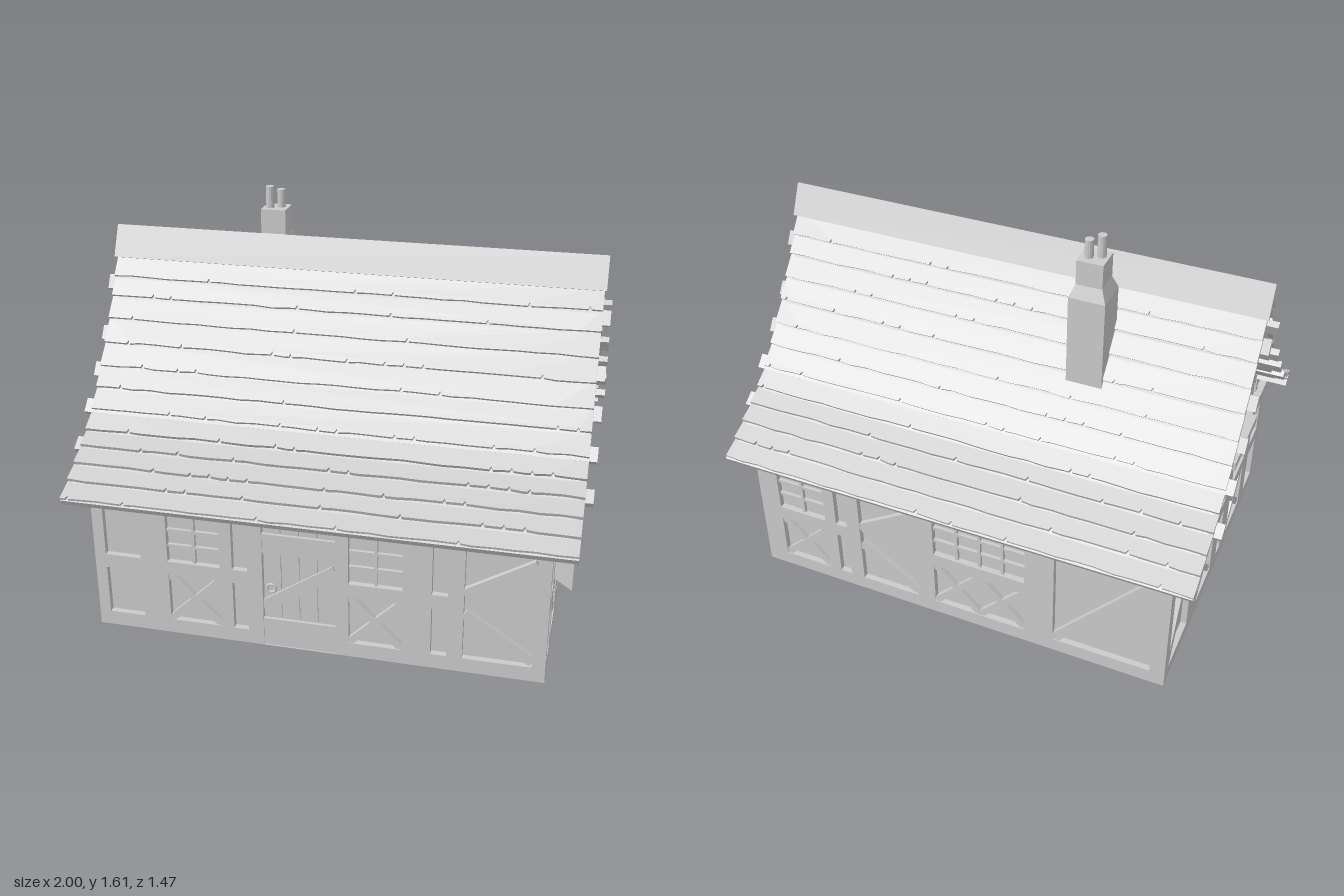
import * as THREE from 'three';

const mat = new THREE.MeshStandardMaterial({ color: 0xcccccc, flatShading: true, side: THREE.DoubleSide });

function add(parent, geo, name, x = 0, y = 0, z = 0) {
  const m = new THREE.Mesh(geo, mat);
  m.name = name;
  m.position.set(x, y, z);
  parent.add(m);
  return m;
}
// Box given by its min and max corners
function box(parent, name, x0, y0, z0, x1, y1, z1) {
  return add(parent, new THREE.BoxGeometry(x1 - x0, y1 - y0, z1 - z0), name, (x0 + x1) / 2, (y0 + y1) / 2, (z0 + z1) / 2);
}
// Straight timber between two points on a wall
function bar(parent, name, u0, v0, u1, v1, w, zBack = -0.028, zFront = -0.003) {
  const m = add(parent, new THREE.BoxGeometry(Math.hypot(u1 - u0, v1 - v0), w, zFront - zBack), name,
    (u0 + u1) / 2, (v0 + v1) / 2, (zBack + zFront) / 2);
  m.rotation.z = Math.atan2(v1 - v0, u1 - u0);
  return m;
}
const shapeOf = pts => new THREE.Shape(pts.map(p => new THREE.Vector2(p[0], p[1])));
const extrude = (shape, depth) => new THREE.ExtrudeGeometry(shape, { depth, bevelEnabled: false, curveSegments: 24 });

let seed = 7;
const rnd = () => (seed = (seed * 16807) % 2147483647) / 2147483647;

// Roof outline from ridge to eave as [z, y]
const roof = [[0.05, 1.34], [0.09, 1.265], [0.13, 1.195], [0.18, 1.115], [0.235, 1.035], [0.29, 0.955], [0.345, 0.885],
  [0.405, 0.815], [0.47, 0.757], [0.53, 0.715], [0.6, 0.672], [0.665, 0.63], [0.735, 0.587]];
const offset = d => roof.map((p, i) => {
  const a = roof[Math.max(i - 1, 0)], b = roof[Math.min(i + 1, roof.length - 1)];
  const dz = b[0] - a[0], dy = b[1] - a[1], l = Math.hypot(dz, dy);
  return [p[0] + dy / l * d, p[1] - dz / l * d];
});
const mirrored = (half, apex) => [...half.map(p => [-p[0], p[1]]).reverse(), apex, ...half];

// Infill of one framed opening
function infill(wall, [u0, v0, u1, v1, kind]) {
  const um = (u0 + u1) / 2;
  if (kind === 'x') {
    bar(wall, 'crossBrace', u0, v0, u1, v1, 0.028);
    bar(wall, 'crossBrace', u0, v1, u1, v0, 0.028, -0.028, -0.004);
  } else if (kind === 'xx') {
    infill(wall, [u0, v0, um, v1, 'x']);
    infill(wall, [um, v0, u1, v1, 'x']);
  } else if (kind === 'window') {
    const cols = Math.max(2, Math.round((u1 - u0) / 0.09));
    for (let i = 1; i < cols; i++) {
      const u = u0 + (u1 - u0) * i / cols;
      box(wall, 'windowBar', u - 0.006, v0, -0.028, u + 0.006, v1, -0.01);
    }
    for (let j = 1; j < 3; j++) {
      const v = v0 + (v1 - v0) * j / 3;
      box(wall, 'windowBar', u0, v - 0.006, -0.028, u1, v + 0.006, -0.011);
    }
  } else if (kind === 'k') {
    bar(wall, 'kneeBrace', u0, 0.335, u1, 0.49, 0.04);
    bar(wall, 'kneeBrace', u0, 0.25, u1, 0.08, 0.04, -0.028, -0.004);
  } else if (kind === 'slash') {
    bar(wall, 'diagonalBrace', u0, v0, u1, v1, 0.04);
  } else if (kind === 'stripes') {
    bar(wall, 'diagonalBrace', u0, 0.32, u0 + 0.22, 0.52, 0.045);
    bar(wall, 'diagonalBrace', u0, 0.2, u1, 0.44, 0.045);
    bar(wall, 'diagonalBrace', u0 + 0.02, 0.06, u1, 0.26, 0.045);
  } else if (kind === 'door') {
    for (let i = 0; i < 4; i++) {
      const w = (u1 - u0) / 4;
      box(wall, 'doorPlank', u0 + i * w + 0.002, 0, -0.028, u0 + (i + 1) * w - 0.002, v1, -0.016);
    }
    bar(wall, 'doorBrace', u0, 0.17, u1, 0.36, 0.05, -0.02, -0.006);
    box(wall, 'doorLedge', u0, 0.41, -0.02, u1, 0.49, -0.004);
    box(wall, 'doorLedge', u0, 0.002, -0.02, u1, 0.12, -0.004);
    add(wall, new THREE.TorusGeometry(0.017, 0.005, 8, 20), 'doorRing', u0 + 0.035, 0.26, -0.002);
  }
}
// Timber frame plate with openings, backed by a plaster panel
function makeWall(name, half, holes) {
  const wall = new THREE.Group();
  wall.name = name;
  const s = shapeOf([[-half, 0], [half, 0], [half, 0.585], [-half, 0.585]]);
  for (const [u0, v0, u1, v1] of holes)
    s.holes.push(new THREE.Path([[u0, v0], [u0, v1], [u1, v1], [u1, v0]].map(p => new THREE.Vector2(...p))));
  add(wall, extrude(s, 0.03), 'timberFrame', 0, 0, -0.03);
  box(wall, 'plaster', -half + 0.01, 0.002, -0.04, half - 0.01, 0.58, -0.024);
  holes.forEach(h => infill(wall, h));
  return wall;
}
const column = (u0, u1, upper = '', lower = '') => [[u0, 0.32, u1, 0.52, upper], [u0, 0.06, u1, 0.262, lower]];
const tall = (u0, u1, kind) => [[u0, 0.06, u1, 0.52, kind]];

// Upper gable: boarding, studs and tie beam, outer face at local z = 0
function makeGable(name) {
  const g = new THREE.Group();
  g.name = name;
  const half = offset(0.035).filter(p => p[1] > 0.62);
  half.push([0.62, 0.58]);
  add(g, extrude(shapeOf(mirrored(half, [0, 1.36])), 0.02), 'gableBoards', 0, 0, -0.04);
  box(g, 'tieBeam', -0.61, 0.58, -0.04, 0.61, 0.63, 0.025);
  for (const s of [-1, 1]) {
    for (const [u, w, top, from] of [[0.085, 0.05, 1.16, 0.63], [0.205, 0.04, 1.01, 0.63], [0.36, 0.1, 0.79, 0.63], [0.475, 0.03, 0.7, 0.63]])
      box(g, 'gableStud', s * u - w / 2, from, -0.025, s * u + w / 2, top, 0);
    for (let i = 1; i < 10; i++) {
      const a = half[i], b = half[i + 1];
      if (b) bar(g, 'gableRafter', s * (a[0] - 0.012), a[1] - 0.015, s * (b[0] - 0.012), b[1] - 0.015, 0.035, -0.03, -0.004);
    }
  }
  return g;
}

// One slope of tile courses with uneven lower edges, facing +z
function makeSlope() {
  const g = new THREE.Group();
  g.name = 'roofSlope';
  const X = new THREE.Vector3(1, 0, 0), N = 26, t = 0.015;
  for (let i = roof.length - 2; i >= 0; i--) {
    const lo = new THREE.Vector3(0, roof[i + 1][1], roof[i + 1][0]);
    const up = new THREE.Vector3(0, roof[i][1], roof[i][0]);
    let dir = up.clone().sub(lo).normalize();
    up.addScaledVector(X.clone().cross(dir), -t);
    dir = up.clone().sub(lo);
    const len = dir.length() + 0.012;
    dir.normalize();
    const pts = [[0.97, len], [-0.97, len]];
    for (let k = 0; k <= N; k++) {
      const x = -0.97 + 1.94 * k / N, j = rnd() * 0.006;
      pts.push([x, j]);
      if (k < N && rnd() > 0.75) pts.push([x + 0.02, j], [x + 0.027, j + 0.014], [x + 0.034, j]);
    }
    const m = add(g, extrude(shapeOf(pts), t), 'tileCourse');
    m.geometry.translate(0, 0, -t);
    m.applyMatrix4(new THREE.Matrix4().makeBasis(X, dir, X.clone().cross(dir)).setPosition(lo));
  }
  // Purlins under the slope
  for (const [z, y, a] of [[0.065, 1.23, 1.05], [0.165, 1.045, 0.98], [0.265, 0.925, 0.95], [0.375, 0.81, 0.8], [0.49, 0.695, 0.6]])
    add(g, new THREE.BoxGeometry(2, 0.026, 0.058), 'purlin', 0, y, z).rotation.x = a;
  // Eave board
  add(g, new THREE.BoxGeometry(1.94, 0.026, 0.03), 'eaveBoard', 0, 0.572, 0.715).rotation.x = 0.55;
  return g;
}

export function createModel() {
  const house = new THREE.Group();
  house.name = 'timberHouse';
  const place = (g, x, z, r) => { g.position.set(x, 0, z); g.rotation.y = r; house.add(g); return g; };

  // Walls
  place(makeWall('frontWall', 0.88, [...column(-0.835, -0.69), ...column(-0.58, -0.37, 'window', 'x'), ...column(-0.32, -0.26),
    [-0.2, 0.002, 0.085, 0.55, 'door'], ...column(0.135, 0.34, 'window', 'x'), ...column(0.45, 0.51), ...tall(0.57, 0.83, 'k')]), 0, 0.665, 0);
  place(makeWall('backWall', 0.88, [...column(-0.79, -0.58, 'window', 'x'), ...column(-0.53, -0.48), ...tall(-0.42, -0.17, 'k'),
    ...column(-0.09, 0.3, 'window', 'xx'), ...tall(0.42, 0.82, 'slash')]), 0, -0.665, Math.PI);
  const right = place(makeWall('rightWall', 0.662, [...column(-0.615, -0.5), ...column(-0.445, -0.245, 'window', 'x'),
    ...column(-0.13, -0.07), ...column(0.04, 0.24, 'window', 'x'), ...tall(0.355, 0.615, 'stripes')]), 0.88, 0, Math.PI / 2);
  place(makeWall('leftWall', 0.662, [...tall(-0.615, -0.38, 'slash'), ...column(-0.25, -0.05, 'window', 'x'),
    ...column(0.04, 0.1), ...column(0.2, 0.4, 'window', 'x'), ...column(0.49, 0.615)]), -0.88, 0, -Math.PI / 2);

  // Open shutters
  for (const [u, s] of [[-0.445, -1], [-0.245, 1], [0.04, -1], [0.24, 1]]) {
    const shutter = new THREE.Group();
    shutter.name = 'shutter';
    shutter.position.set(u, 0.417, 0);
    shutter.rotation.y = -s * 0.78;
    add(shutter, new THREE.BoxGeometry(0.1, 0.198, 0.01), 'shutterLeaf', s * 0.05, 0, 0.004);
    for (const v of [-0.06, 0.06]) add(shutter, new THREE.BoxGeometry(0.085, 0.022, 0.006), 'shutterBatten', s * 0.05, v, 0.011);
    right.add(shutter);
  }

  // Right gable with round window
  const gableR = place(makeGable('rightGable'), 0.88, 0, Math.PI / 2);
  const ring = new THREE.Shape().absarc(0, 0, 0.135, 0, Math.PI * 2);
  ring.holes.push(new THREE.Path().absarc(0, 0, 0.108, 0, Math.PI * 2, true));
  add(gableR, extrude(ring, 0.04), 'roundWindowFrame', 0, 0.83, -0.02);
  add(gableR, new THREE.CircleGeometry(0.11, 32), 'roundWindowPane', 0, 0.83, 0.002);
  box(gableR, 'roundWindowBar', -0.013, 0.72, -0.02, 0.013, 0.94, 0.014);
  for (const y of [0.69, 0.97]) box(gableR, 'windowRail', -0.06, y - 0.02, -0.025, 0.06, y + 0.02, 0);

  // Left gable with loft hatch
  const gableL = place(makeGable('leftGable'), -0.88, 0, -Math.PI / 2);
  box(gableL, 'loftHatch', -0.1, 0.74, -0.02, 0.1, 1.0, 0.006);
  box(gableL, 'loftSill', -0.16, 0.71, -0.02, 0.16, 0.745, 0.07);
  box(gableL, 'loftLintel', -0.13, 0.99, -0.02, 0.13, 1.025, 0.025);
  for (const s of [-1, 1]) box(gableL, 'loftPost', s * 0.11 - 0.015, 0.74, -0.02, s * 0.11 + 0.015, 1.0, 0.02);

  // Roof
  place(makeSlope(), 0, 0, 0);
  place(makeSlope(), 0, 0, Math.PI);
  const lining = shapeOf([...mirrored(offset(0.014), [0, 1.4]), ...mirrored(offset(0.034), [0, 1.33]).reverse()]);
  const deck = add(house, extrude(lining, 1.9), 'roofDeck', -0.95);
  deck.rotation.y = Math.PI / 2;
  const cap = add(house, extrude(shapeOf([[-0.058, 1.335], [0, 1.455], [0.058, 1.335], [0.045, 1.33], [0, 1.385], [-0.045, 1.33]]), 1.955),
    'ridgeCap', -0.9775);
  cap.rotation.y = Math.PI / 2;

  // Chimney
  const chimney = new THREE.Group();
  chimney.name = 'chimney';
  chimney.position.set(-0.36, 0, -0.175);
  house.add(chimney);
  const stack = add(chimney, extrude(shapeOf([[-0.071, 1.2], [-0.071, 1.37], [0.071, 1.37], [0.071, 0.98]]), 0.142), 'chimneyStack', -0.071);
  stack.rotation.y = Math.PI / 2;
  add(chimney, new THREE.CylinderGeometry(0.051 * Math.SQRT2, 0.071 * Math.SQRT2, 0.05, 4), 'chimneyShoulder', 0, 1.395, 0).rotation.y = Math.PI / 4;
  box(chimney, 'chimneyNeck', -0.051, 1.41, -0.051, 0.051, 1.518, 0.051);
  add(chimney, new THREE.CylinderGeometry(0.017, 0.017, 0.1, 12), 'chimneyPot', -0.022, 1.555, 0.012);
  add(chimney, new THREE.CylinderGeometry(0.017, 0.017, 0.085, 12), 'chimneyPot', 0.019, 1.5475, -0.009);
  return house;
}
